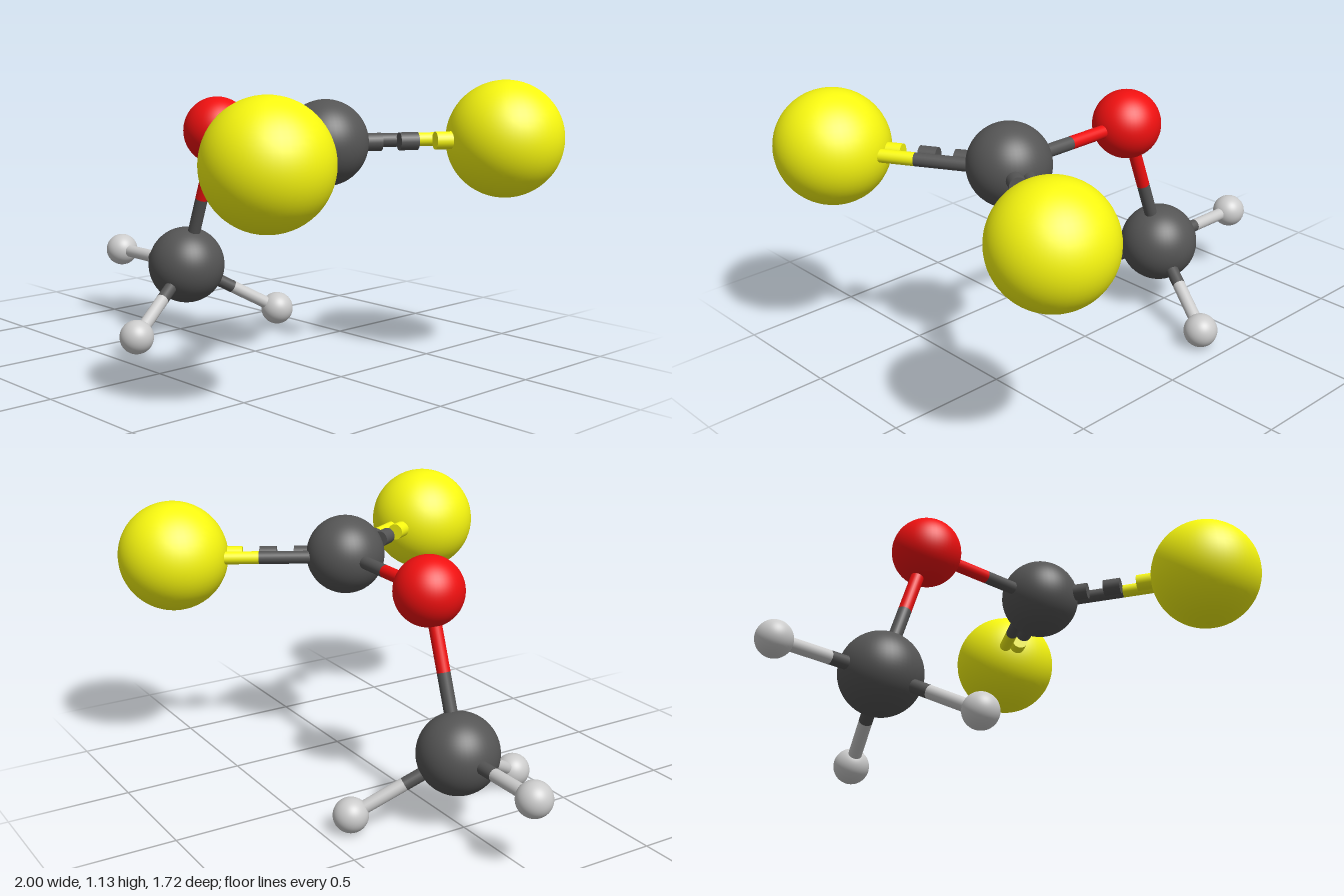
import * as THREE from 'three';

const material = (color) => new THREE.MeshStandardMaterial({ color });

const ELEMENTS = {
  carbon: { radius: 0.166, material: material(0x555555) },
  oxygen: { radius: 0.142, material: material(0xf01010) },
  sulfur: { radius: 0.231, material: material(0xf8f810) },
  hydrogen: { radius: 0.071, material: material(0xcccccc) },
};
const BOND_RADIUS = 0.027;
const DASH_RADIUS = 0.035;

// Sphere for one atom
function addAtom(group, name, element, x, y, z) {
  const { radius, material } = ELEMENTS[element];
  const mesh = new THREE.Mesh(new THREE.SphereGeometry(radius, 48, 32), material);
  mesh.name = name;
  mesh.position.set(x, y, z);
  group.add(mesh);
  return { element, position: mesh.position };
}

// Capped cylinder between two points
function addRod(group, name, from, to, radius, mat) {
  const along = to.clone().sub(from);
  const mesh = new THREE.Mesh(new THREE.CylinderGeometry(radius, radius, along.length(), 24), mat);
  mesh.name = name;
  mesh.position.copy(from).addScaledVector(along, 0.5);
  mesh.quaternion.setFromUnitVectors(new THREE.Vector3(0, 1, 0), along.normalize());
  group.add(mesh);
}

// Part of a bond, between fractions t0 and t1, coloured by the nearer atom
function addSegment(group, name, a, b, t0, t1, radius, shift) {
  const at = (t) => a.position.clone().lerp(b.position, t).add(shift);
  const owner = (t0 + t1) / 2 < 0.5 ? a : b;
  addRod(group, name, at(t0), at(t1), radius, ELEMENTS[owner.element].material);
}

function addBond(group, name, a, b, shift = new THREE.Vector3()) {
  const bond = new THREE.Group();
  bond.name = name;
  addSegment(bond, 'firstHalf', a, b, 0, 0.5, BOND_RADIUS, shift);
  addSegment(bond, 'secondHalf', a, b, 0.5, 1, BOND_RADIUS, shift);
  group.add(bond);
  return bond;
}

// Solid rod with a dashed rod beside it
function addDashedBond(group, name, a, b) {
  const side = b.position.clone().sub(a.position).normalize().cross(new THREE.Vector3(0, 1, 0));
  const bond = addBond(group, name, a, b, side.clone().multiplyScalar(-0.045));
  for (let i = 2; i < 10; i += 2) {
    addSegment(bond, 'dash', a, b, i / 10, (i + 1) / 10, DASH_RADIUS, side.clone().multiplyScalar(0.01));
  }
}

export function createModel() {
  const model = new THREE.Group();
  model.name = 'molecule';

  // Backbone
  const methyl = addAtom(model, 'methylCarbon', 'carbon', -0.452, 0.302, 0);
  const oxygen = addAtom(model, 'oxygenAtom', 'oxygen', -0.239, 0.905, 0);
  const centre = addAtom(model, 'centralCarbon', 'carbon', 0.402, 0.905, 0);
  addBond(model, 'methylOxygenBond', methyl, oxygen);
  addBond(model, 'oxygenCarbonBond', oxygen, centre);

  // Mirrored pairs of sulfur and hydrogen
  for (const [side, label] of [[1, 'front'], [-1, 'back']]) {
    const sulfur = addAtom(model, label + 'Sulfur', 'sulfur', 0.767, 0.905, side * 0.629);
    addDashedBond(model, label + 'SulfurBond', centre, sulfur);
    const hydrogen = addAtom(model, label + 'Hydrogen', 'hydrogen', -0.293, 0.074, side * 0.392);
    addBond(model, label + 'HydrogenBond', methyl, hydrogen);
  }

  // Outer hydrogen
  const outer = addAtom(model, 'outerHydrogen', 'hydrogen', -0.931, 0.302, 0);
  addBond(model, 'outerHydrogenBond', methyl, outer);

  return model;
}
